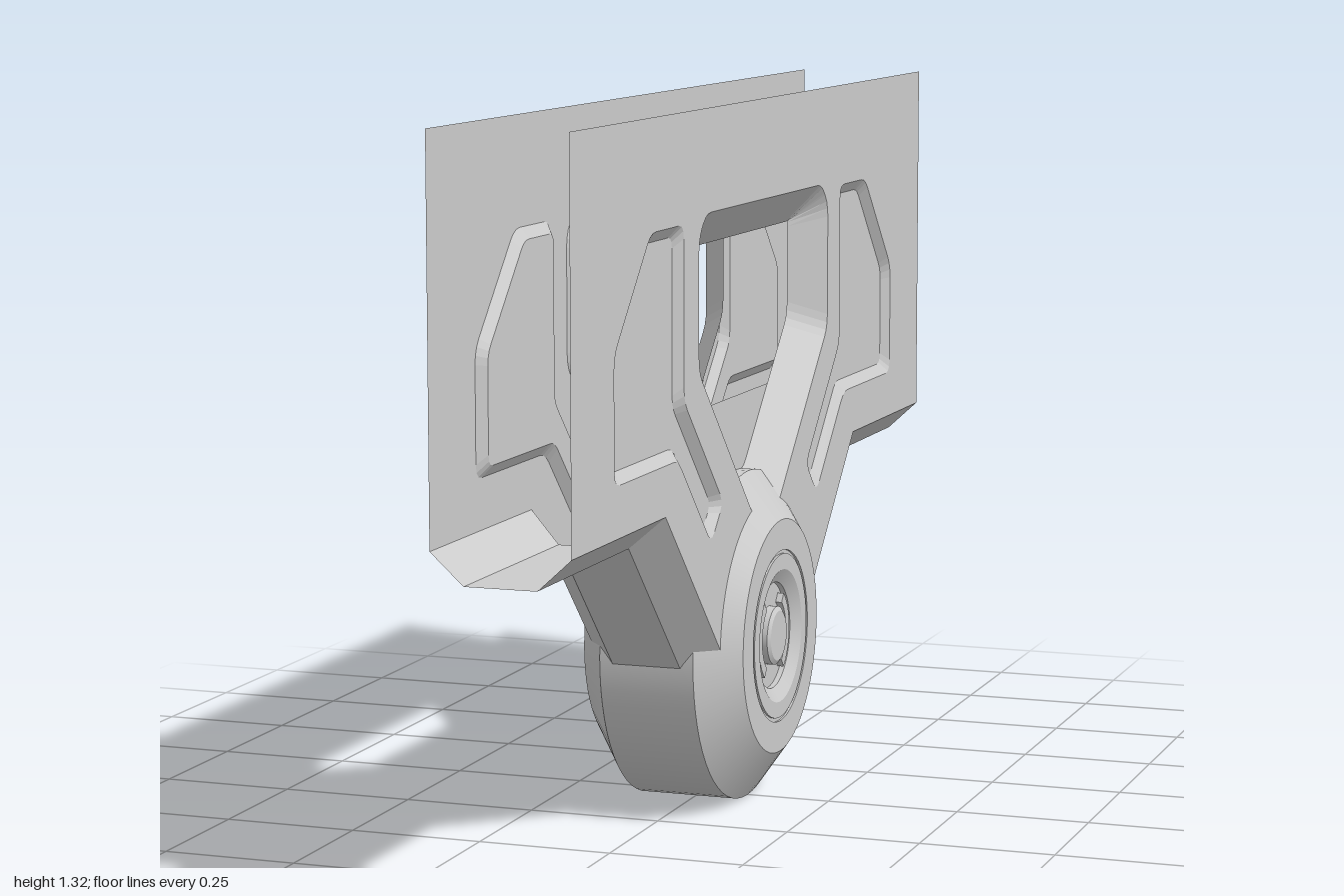
import * as THREE from 'three';

const OUT = 0.125, IN = 0.065, HUB_Y = 0.31;
const material = new THREE.MeshStandardMaterial({ color: 0xcccccc, side: THREE.DoubleSide });

const V = (list) => list.map(([a, b]) => new THREE.Vector2(a, b));
// Mirror a counter-clockwise loop left to right, keeping its direction
const flip = (loop) => loop.map((p) => new THREE.Vector2(-p.x, p.y)).reverse();

// Move every edge of a counter-clockwise loop inwards by d
function inset(loop, d) {
  const n = loop.length;
  return loop.map((p, i) => {
    const e = p.clone().sub(loop[(i + n - 1) % n]).normalize();
    const f = loop[(i + 1) % n].clone().sub(p).normalize();
    const n1 = new THREE.Vector2(-e.y, e.x), n2 = new THREE.Vector2(-f.y, f.x);
    const k = d / (1 + n1.dot(n2));
    return p.clone().add(n1.add(n2).multiplyScalar(k));
  });
}

// Replace each corner by a short curve
function round(loop, r) {
  const n = loop.length, out = [];
  loop.forEach((p, i) => {
    const toward = (q) => p.clone().add(q.clone().sub(p).setLength(Math.min(r, p.distanceTo(q) * 0.45)));
    const curve = new THREE.QuadraticBezierCurve(toward(loop[(i + n - 1) % n]), p, toward(loop[(i + 1) % n]));
    out.push(...curve.getPoints(3));
  });
  return out;
}

function meshFrom(name, positions) {
  const g = new THREE.BufferGeometry();
  g.setAttribute('position', new THREE.Float32BufferAttribute(positions, 3));
  g.computeVertexNormals();
  const m = new THREE.Mesh(g, material);
  m.name = name;
  return m;
}

// Side-plane point (a, y) placed at depth x, with a = -z
const place = (p, x) => [x, p.y, -p.x];

// Sloped band joining an outer loop to an inner loop
function band(name, outer, xo, inner, xi, closed = true) {
  const pos = [], n = outer.length;
  for (let i = 0; i < (closed ? n : n - 1); i++) {
    const j = (i + 1) % n;
    const A = place(outer[i], xo), B = place(outer[j], xo);
    const C = place(inner[j], xi), D = place(inner[i], xi);
    pos.push(...A, ...B, ...C, ...A, ...C, ...D);
  }
  return meshFrom(name, pos);
}

// Flat sheet with optional holes
function sheet(name, loop, x, holes = []) {
  const shape = new THREE.Shape(loop);
  holes.forEach((h) => shape.holes.push(new THREE.Path(h)));
  const g = new THREE.ShapeGeometry(shape).toNonIndexed();
  const p = g.attributes.position, pos = [];
  for (let i = 0; i < p.count; i++) pos.push(x, p.getY(i), -p.getX(i));
  return meshFrom(name, pos);
}

// Folded lower edge: outer line and bottom line of one arm
const ARM_OUTER = V([[-1, 0.62], [-0.55, 0.62], [-0.24, 0.31]]);
const ARM_BOTTOM = V([[-1, 0.565], [-0.573, 0.565], [-0.3, 0.292]]);

function createSide() {
  const side = new THREE.Group();
  const outline = [...ARM_OUTER, ...flip(ARM_OUTER), ...V([[1, 1.315], [-1, 1.315]])];

  // Window recess and stamped panels
  const recess = V([[-0.07, 0.545], [0.07, 0.545], [0.375, 0.85], [0.375, 1.09], [0.335, 1.13],
    [-0.335, 1.13], [-0.375, 1.09], [-0.375, 0.85]]);
  const panel = V([[0.8, 0.71], [0.8, 0.93], [0.62, 1.12], [0.455, 1.12], [0.455, 0.81],
    [0.245, 0.6], [0.31, 0.535], [0.485, 0.71]]);
  const panels = [panel, flip(panel)];
  const recessRim = round(recess, 0.025);
  const panelRims = panels.map((p) => round(p, 0.025));

  side.add(sheet('sidePlate', outline, OUT, [recessRim, ...panelRims]));
  side.add(band('windowBevel', recessRim, OUT, round(inset(recess, 0.07), 0.025), IN));
  side.add(sheet('windowSill', V([[-0.045, 0.612], [0.045, 0.612], [0.19, 0.76], [-0.19, 0.76]]), IN));
  panels.forEach((p, i) => {
    const floor = round(inset(p, 0.02), 0.02);
    side.add(band('panelBevel', panelRims[i], OUT, floor, OUT - 0.015));
    side.add(sheet('panelFloor', floor, OUT - 0.015));
  });

  // Chamfers along the lower edge
  side.add(band('lowerChamfer', ARM_BOTTOM, IN, ARM_OUTER, OUT, false));
  side.add(band('lowerChamfer', flip(ARM_BOTTOM), IN, flip(ARM_OUTER), OUT, false));

  // Two-part retaining ring on the hub face
  for (const start of [-0.9, Math.PI - 0.9]) {
    const s = new THREE.Shape();
    s.absarc(0, 0, 0.09, start, start + 1.8, false);
    s.absarc(0, 0, 0.07, start + 1.8, start, true);
    const g = new THREE.ExtrudeGeometry(s, { depth: 0.012, bevelEnabled: false, curveSegments: 16 });
    g.rotateY(Math.PI / 2).translate(0.13, HUB_Y, 0);
    const clip = new THREE.Mesh(g, material);
    clip.name = 'retainingRing';
    side.add(clip);
  }
  return side;
}

// Turned hub, one smooth strip per profile segment so edges stay sharp
function createHub() {
  const hub = new THREE.Group();
  hub.name = 'hub';
  const half = V([[0.31, 0.09], [0.22, 0.155], [0.162, 0.155], [0.162, 0.151], [0.155, 0.151], [0.155, 0.155],
    [0.125, 0.155], [0.1, 0.14], [0.1, 0.13], [0.055, 0.13], [0.055, 0.146], [0.047, 0.151], [0, 0.151]]);
  const profile = [...half.map((p) => new THREE.Vector2(p.x, -p.y)).reverse(), ...half];
  for (let i = 0; i < profile.length - 1; i++) {
    const strip = new THREE.Mesh(new THREE.LatheGeometry([profile[i], profile[i + 1]], 64), material);
    strip.name = 'hubSurface';
    hub.add(strip);
  }
  hub.rotation.z = -Math.PI / 2;
  hub.position.y = HUB_Y;
  return hub;
}

export function createModel() {
  const model = new THREE.Group();
  model.name = 'pivotBracket';
  for (const s of [1, -1]) {
    const side = createSide();
    side.name = s > 0 ? 'leftSide' : 'rightSide';
    side.scale.x = s;
    model.add(side);
  }
  // Underside strips of the front and rear arms
  model.add(band('armUnderside', ARM_BOTTOM, -IN, ARM_BOTTOM, IN, false));
  model.add(band('armUnderside', flip(ARM_BOTTOM), -IN, flip(ARM_BOTTOM), IN, false));
  model.add(createHub());
  return model;
}
